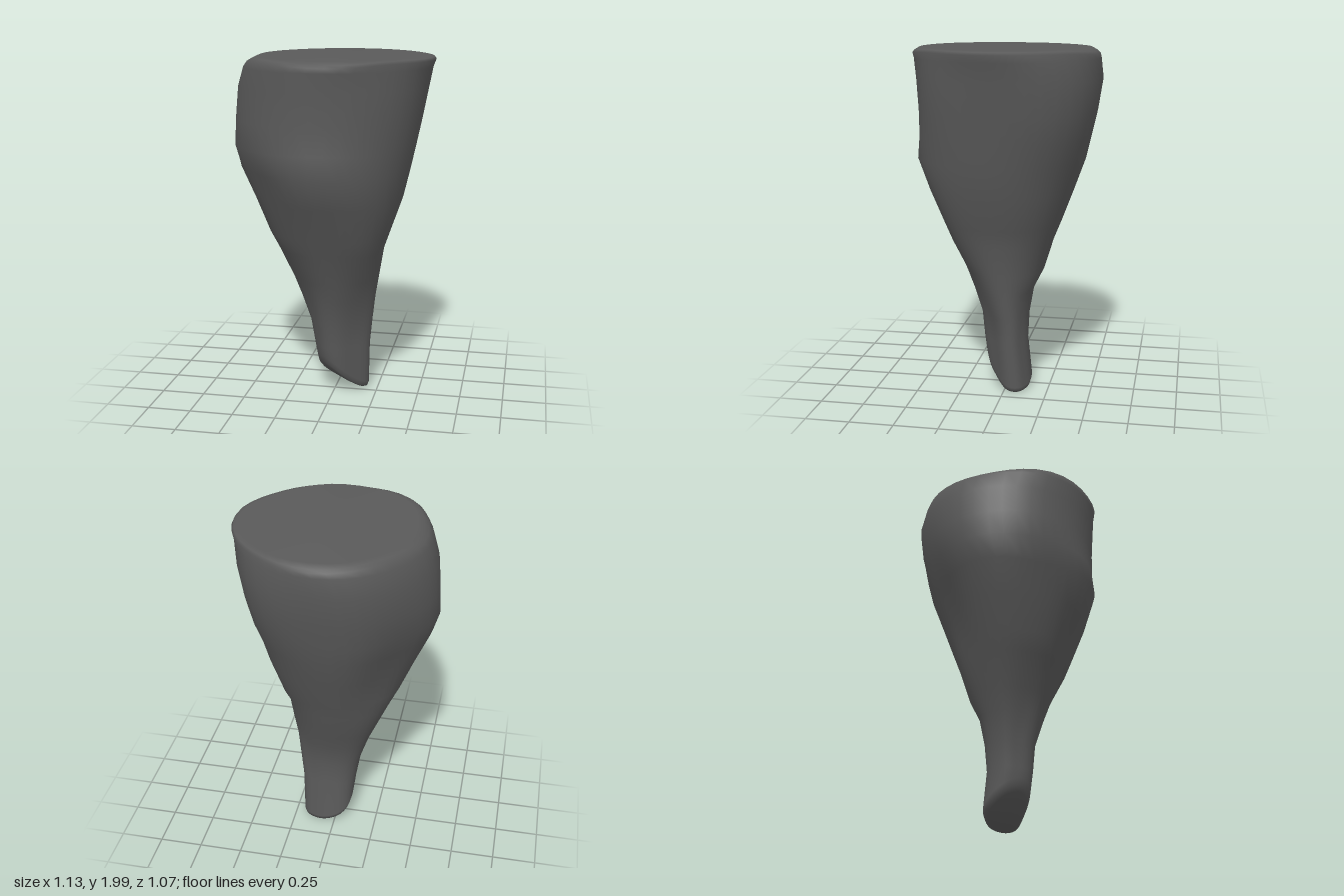
import * as THREE from 'three';

const SIDES = 40;

// Body sections: height, min x, max x, min z, max z, then how far each corner
// bulges, in the order (+x +z), (-x +z), (-x -z), (+x -z)
const BODY = [
  [0.30, -0.115, 0.205, -0.12, 0.14, -0.02, -0.015, 0.01, -0.015],
  [0.45, -0.14, 0.22, -0.125, 0.155, -0.02, -0.02, 0.015, -0.015],
  [0.60, -0.19, 0.24, -0.15, 0.20, -0.01, -0.025, 0.015, -0.01],
  [0.72, -0.24, 0.26, -0.21, 0.24, -0.01, -0.015, 0.01, 0],
  [0.90, -0.32, 0.29, -0.265, 0.315, 0.03, -0.01, 0, 0],
  [1.00, -0.37, 0.325, -0.305, 0.36, 0.03, -0.005, -0.03, 0.015],
  [1.20, -0.455, 0.395, -0.38, 0.45, 0.025, -0.03, -0.06, 0.015],
  [1.37, -0.53, 0.435, -0.44, 0.53, 0, -0.05, -0.06, 0.025],
  [1.50, -0.567, 0.46, -0.47, 0.515, 0.01, -0.015, -0.05, 0.045],
  [1.65, -0.56, 0.49, -0.505, 0.51, 0.015, 0, -0.03, 0.045],
  [1.83, -0.545, 0.525, -0.535, 0.52, 0, 0, -0.02, 0.03],
  [1.94, -0.505, 0.55, -0.525, 0.53, -0.03, 0.015, -0.015, 0],
  [1.98, -0.48, 0.565, -0.52, 0.533, -0.04, 0.02, -0.01, -0.01],
  [1.995, -0.455, 0.555, -0.505, 0.52, -0.04, 0.02, -0.01, -0.01],
  [2.00, -0.42, 0.53, -0.475, 0.49, -0.04, 0.02, -0.01, -0.01],
];

// Slanted tip: section scale and lift above the slanted end, from pole to neck
const TIP = [[0, 0], [0.45, 0], [0.8, 0.002], [0.94, 0.012], [1, 0.04]];
const TIP_CORNERS = [-0.02, -0.01, 0.01, -0.01];

// Height of the slanted end, lowest toward +x and -z
const slant = (dx, dz) => 0.2 * Math.pow(Math.max(0, 0.15 - (dx - dz) / Math.SQRT2) / 0.3, 1.6);

// Oval outline with a bulge at each corner; lean flattens the +x +z side
function outline(a, rx, rz, lean, corners) {
  const [c, s] = [Math.cos(a), Math.sin(a)];
  const quadrant = Math.floor(a / (Math.PI / 2)) % 4;
  const bulge = corners[quadrant] * Math.sin(2 * a) ** 2;
  const squared = (v) => Math.sign(v) * Math.pow(Math.abs(v), 0.97);
  return [
    squared(c) * rx + c * bulge - lean * Math.max(0, s) ** 2,
    squared(s) * rz + s * bulge - lean * Math.max(0, c) ** 2,
  ];
}

// The rim is worn down a little at -x, +z and -z
const rimDrop = (a) => (Math.cos(a) < 0.7 ? 0.014 * Math.cos(2 * a) ** 2 : 0);

function bodyGeometry() {
  const positions = [];
  const index = [];
  const addRing = (point) => {
    for (let j = 0; j < SIDES; j++) positions.push(...point((j / SIDES) * Math.PI * 2));
  };

  // Tip rings follow the slanted end
  for (const [scale, lift] of TIP) {
    addRing((a) => {
      const [dx, dz] = outline(a, 0.15, 0.135, 0.04, TIP_CORNERS).map((v) => v * scale);
      return [0.047 + dx, slant(dx, dz) + lift, -0.01 + dz];
    });
  }

  // Level rings up the body; the neck leans away from +x +z
  for (const [y, x0, x1, z0, z1, ...corners] of BODY) {
    const lean = y < 0.5 ? 0.04 : y < 0.7 ? 0.025 : 0;
    const onRim = y > 1.97 && y < 2;
    addRing((a) => {
      const [dx, dz] = outline(a, (x1 - x0) / 2, (z1 - z0) / 2, lean, corners);
      return [(x0 + x1) / 2 + dx, y - (onRim ? rimDrop(a) : 0), (z0 + z1) / 2 + dz];
    });
  }

  // Flat top closes to the middle
  addRing(() => [0.04, 2, 0]);

  const rings = TIP.length + BODY.length + 1;
  for (let i = 0; i < rings - 1; i++) {
    for (let j = 0; j < SIDES; j++) {
      const k = (j + 1) % SIDES;
      const a = i * SIDES + j;
      const b = i * SIDES + k;
      const c = a + SIDES;
      const d = b + SIDES;
      if (i < rings - 2) index.push(a, c, d);
      else index.push(a, c, b);
      if (i > 0 && i < rings - 2) index.push(a, d, b);
    }
  }

  const geometry = new THREE.BufferGeometry();
  geometry.setAttribute('position', new THREE.Float32BufferAttribute(positions, 3));
  geometry.setIndex(index);
  geometry.computeVertexNormals();

  // Poles: every copy of the centre point shares one normal
  const normals = geometry.attributes.normal;
  const tipNormal = new THREE.Vector3(-0.4, -0.8, 0.4).normalize();
  for (let j = 0; j < SIDES; j++) {
    normals.setXYZ(j, tipNormal.x, tipNormal.y, tipNormal.z);
    normals.setXYZ((rings - 1) * SIDES + j, 0, 1, 0);
  }
  return geometry;
}

export function createModel() {
  const group = new THREE.Group();
  group.name = 'taperedPeg';
  const material = new THREE.MeshStandardMaterial({ color: 0x5a5a5a });
  const body = new THREE.Mesh(bodyGeometry(), material);
  body.name = 'taperedBody';
  group.add(body);
  return group;
}
